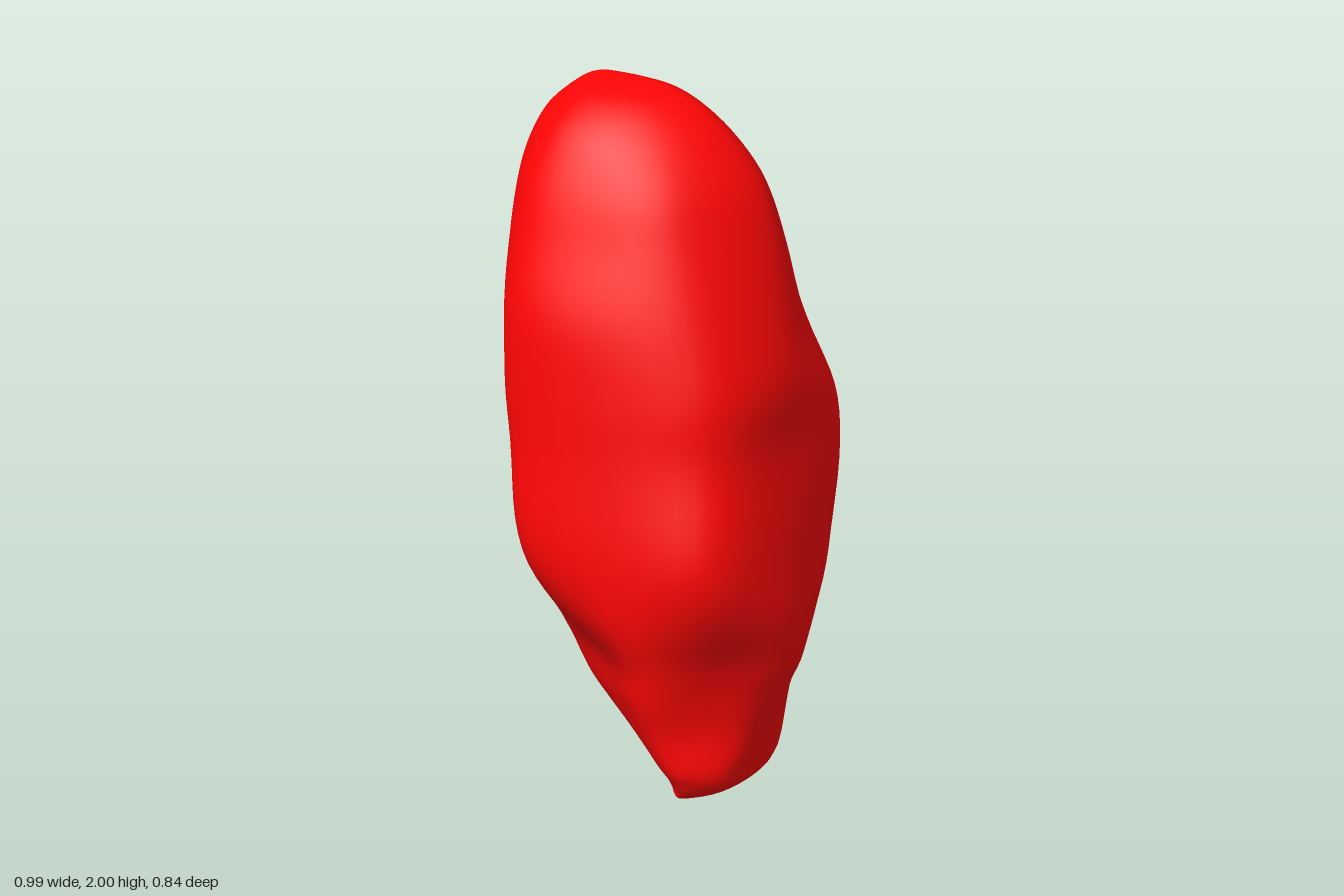
import * as THREE from 'three';

// Outer limits at each height: y, xMin, xMax, zMin, zMax
const LIMITS = [
  [0, 0.2, 0.2, 0.21, 0.21],
  [0.01, 0.165, 0.25, 0.12, 0.24],
  [0.03, 0.13, 0.32, 0.0, 0.262],
  [0.06, 0.09, 0.358, -0.09, 0.28],
  [0.1, 0.04, 0.37, -0.16, 0.3],
  [0.2, -0.09, 0.395, -0.25, 0.32],
  [0.3, -0.18, 0.43, -0.3, 0.35],
  [0.4, -0.24, 0.473, -0.34, 0.37],
  [0.55, -0.31, 0.492, -0.385, 0.415],
  [0.75, -0.36, 0.472, -0.42, 0.423],
  [1.0, -0.4, 0.455, -0.41, 0.4],
  [1.2, -0.45, 0.44, -0.395, 0.385],
  [1.4, -0.49, 0.39, -0.415, 0.36],
  [1.6, -0.5, 0.335, -0.35, 0.295],
  [1.75, -0.47, 0.275, -0.3, 0.24],
  [1.88, -0.395, 0.17, -0.235, 0.163],
  [1.96, -0.31, 0.055, -0.175, 0.07],
  [1.992, -0.25, -0.05, -0.12, -0.02],
  [2, -0.18, -0.18, -0.07, -0.07],
];

// Cross-section outlines (x, z pairs from +x round through +z) at key heights
const OUTLINES = [
  [0.1, [0.37, 0.15, 0.33, 0.24, 0.22, 0.3, 0.12, 0.22, 0.05, 0.1, 0.04, 0, 0.08, -0.11, 0.2, -0.16, 0.28, -0.14, 0.35, -0.08]],
  [0.4, [0.473, 0.08, 0.34, 0.25, 0.16, 0.37, -0.03, 0.26, -0.19, 0.14, -0.24, -0.06, -0.18, -0.27, 0.02, -0.34, 0.22, -0.29, 0.38, -0.17]],
  [0.7, [0.475, 0.08, 0.38, 0.35, 0.06, 0.42, -0.22, 0.375, -0.325, 0.13, -0.365, -0.13, -0.285, -0.37, 0, -0.42, 0.24, -0.35, 0.42, -0.255]],
  [1.05, [0.455, 0, 0.36, 0.29, 0.06, 0.395, -0.26, 0.355, -0.375, 0.12, -0.41, -0.16, -0.35, -0.375, -0.02, -0.405, 0.25, -0.345, 0.44, -0.295]],
  [1.38, [0.39, -0.05, 0.28, 0.24, 0, 0.36, -0.29, 0.33, -0.42, 0.1, -0.49, -0.2, -0.43, -0.37, -0.2, -0.415, 0.1, -0.365, 0.28, -0.285]],
  [1.65, [0.32, -0.1, 0.19, 0.17, 0, 0.26, -0.28, 0.25, -0.42, 0.05, -0.49, -0.22, -0.44, -0.335, -0.22, -0.34, 0.03, -0.33, 0.225, -0.26]],
  [1.9, [0.12, -0.08, 0.04, 0.06, -0.1, 0.13, -0.26, 0.12, -0.36, 0, -0.38, -0.12, -0.34, -0.19, -0.2, -0.21, -0.07, -0.2, 0.065, -0.16]],
];

const SEGMENTS = 60;
const ROWS = 90;

// Smooth blend of the outlines by height
const outlineAt = new THREE.CubicInterpolant(
  OUTLINES.map(([y]) => y), OUTLINES.flatMap(([, pairs]) => pairs), 20);

// Outline at height y, scaled to fill -1..1 both ways
function unitOutline(y) {
  const pairs = outlineAt.evaluate(y);
  const corners = [];
  for (let i = 0; i < pairs.length; i += 2) {
    corners.push(new THREE.Vector3(pairs[i], 0, pairs[i + 1]));
  }
  const curve = new THREE.CatmullRomCurve3(corners, true, 'centripetal');
  const points = curve.getPoints(SEGMENTS).slice(0, SEGMENTS);
  const box = new THREE.Box3().setFromPoints(points);
  const centre = box.getCenter(new THREE.Vector3());
  const size = box.getSize(new THREE.Vector3());
  return points.map((p) => [2 * (p.x - centre.x) / size.x, 2 * (p.z - centre.z) / size.z]);
}

// Loft the outlines between the limits, from the bottom tip to the top
function stoneGeometry() {
  const rail = (lo, hi) => new THREE.CatmullRomCurve3(
    LIMITS.map((r) => new THREE.Vector3(r[lo], r[0], r[hi])), false, 'catmullrom', 0.5);
  const railX = rail(1, 2);
  const railZ = rail(3, 4);
  const positions = [];
  const indices = [];
  for (let i = 0; i <= ROWS; i++) {
    const ex = railX.getPoint(i / ROWS);
    const ez = railZ.getPoint(i / ROWS);
    const y = THREE.MathUtils.clamp(ex.y, 0, 2);
    for (const [u, v] of unitOutline(y)) {
      positions.push(
        (ex.x + ex.z) / 2 + u * (ex.z - ex.x) / 2, y,
        (ez.x + ez.z) / 2 + v * (ez.z - ez.x) / 2);
    }
  }
  for (let i = 0; i < ROWS; i++) {
    for (let j = 0; j < SEGMENTS; j++) {
      const a = i * SEGMENTS + j;
      const b = i * SEGMENTS + (j + 1) % SEGMENTS;
      const c = a + SEGMENTS;
      const d = b + SEGMENTS;
      indices.push(a, c, b, b, c, d);
    }
  }
  const geometry = new THREE.BufferGeometry();
  geometry.setAttribute('position', new THREE.Float32BufferAttribute(positions, 3));
  geometry.setIndex(indices);
  geometry.computeVertexNormals();
  return geometry;
}

export function createModel() {
  const group = new THREE.Group();
  group.name = 'smoothStone';
  const stone = new THREE.Mesh(
    stoneGeometry(), new THREE.MeshStandardMaterial({ color: 0xff0505 }));
  stone.name = 'stoneBody';
  group.add(stone);
  return group;
}
